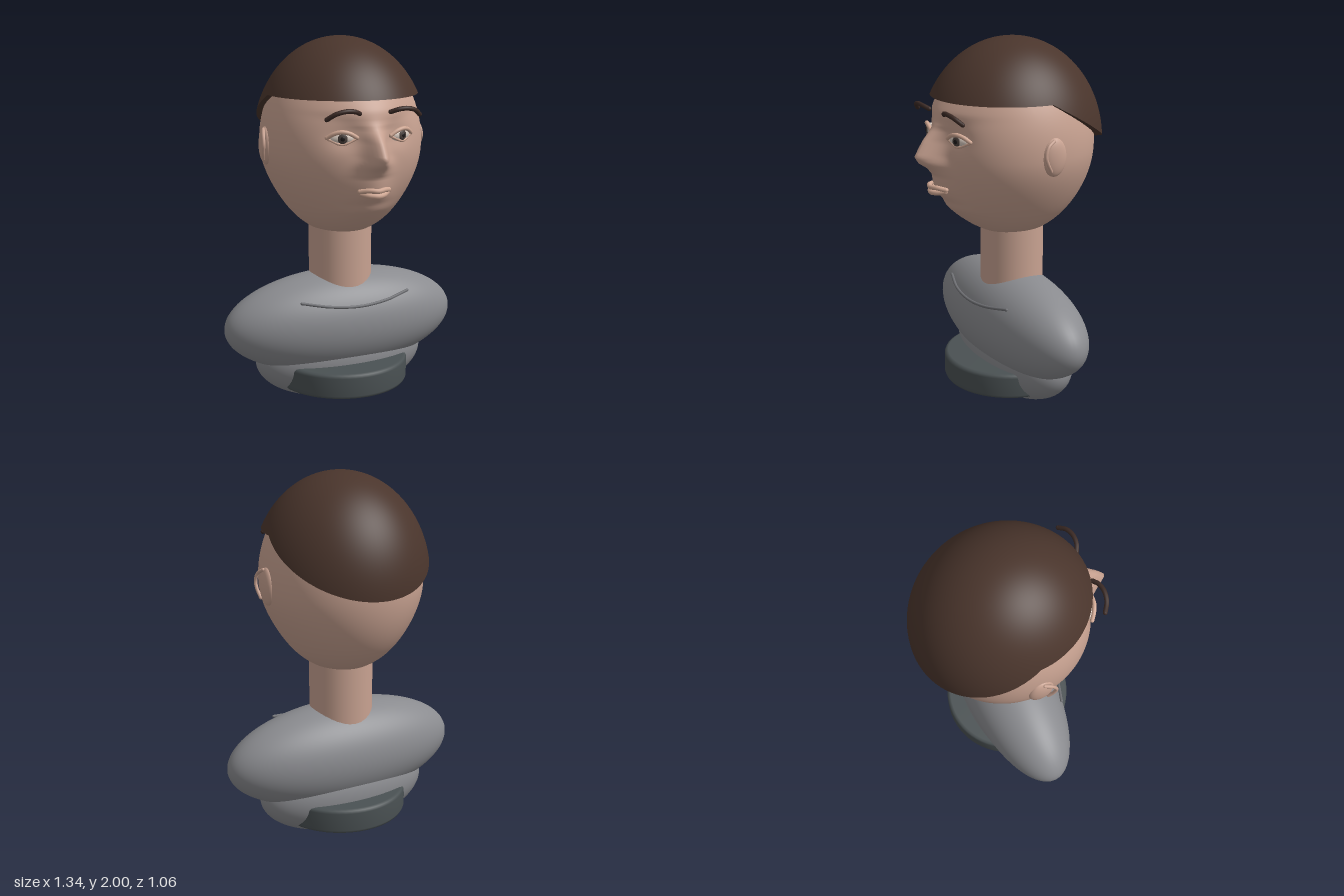
import * as THREE from 'three';
import { mergeGeometries } from 'three/addons/utils/BufferGeometryUtils.js';

const mat = (name, color, extra = {}) => {
  const m = new THREE.MeshStandardMaterial({ color, ...extra });
  m.name = name;
  return m;
};
const V = (x, y, z) => new THREE.Vector3(x, y, z);

export function createModel() {
  const skin = mat('skin', 0xc8a291);
  const lipSkin = mat('lip and eyelid skin', 0xcfa793);
  const hairBrown = mat('hair brown', 0x4a352c, { side: THREE.DoubleSide });
  const browBrown = mat('eyebrow brown', 0x3b2a25);
  const shirt = mat('shirt grey', 0x8a8b8f);
  const seam = mat('neckline grey', 0x6f7074);
  const slate = mat('base slate', 0x4a5153);
  const eyeWhite = mat('eye white', 0xd8cabf);
  const irisGrey = mat('iris grey', 0x4a403c);
  const pupilBlack = mat('pupil', 0x1c1818);

  const model = new THREE.Group();
  model.name = 'bust';

  const add = (name, geo, material, parent = model) => {
    const mesh = new THREE.Mesh(geo, material);
    mesh.name = name;
    parent.add(mesh);
    return mesh;
  };
  const ellipsoid = (name, p, r, material, parent, seg = 32) => {
    const mesh = add(name, new THREE.SphereGeometry(1, seg, seg * 0.75), material, parent);
    mesh.position.set(...p);
    mesh.scale.set(...r);
    return mesh;
  };
  // Tube through points, with rounded ends
  const tube = (name, pts, r, material, parent) => {
    const vs = pts.map((p) => V(...p));
    const caps = [vs[0], vs[vs.length - 1]].map((p) =>
      new THREE.SphereGeometry(r, 10, 8).translate(p.x, p.y, p.z));
    const body = new THREE.TubeGeometry(new THREE.CatmullRomCurve3(vs), 28, r, 10);
    return add(name, mergeGeometries([body, ...caps]), material, parent);
  };

  // Torso and base
  ellipsoid('shoulders', [0, 0.45, -0.04], [0.67, 0.285, 0.264], shirt, model, 64);
  ellipsoid('chest', [0, 0.245, -0.056], [0.49, 0.245, 0.235], shirt, model, 64);
  const ring = [[0, 0.105], [0.345, 0.105], [0.359, 0.111], [0.365, 0.125],
    [0.365, 0.225], [0.359, 0.239], [0.345, 0.245], [0, 0.245]];
  add('baseDisc', new THREE.LatheGeometry(ring.map((p) => new THREE.Vector2(...p)), 64), slate)
    .position.z = -0.028;
  tube('neckline', [[-0.31, 0.625, 0.17], [-0.16, 0.6, 0.215], [0, 0.588, 0.228],
    [0.16, 0.6, 0.215], [0.31, 0.625, 0.17]], 0.008, seam);

  // Neck
  add('neck', new THREE.CylinderGeometry(0.172, 0.172, 0.5, 32), skin).position.set(0, 0.8, -0.042);

  // Head: an ellipsoid with the face profile pushed forward; rows are height, push, half width
  const profile = [[0.98, 0, 0.15], [1.05, 0.014, 0.15], [1.13, 0.035, 0.15], [1.17, 0.03, 0.14],
    [1.21, 0.044, 0.12], [1.25, 0.048, 0.11], [1.315, 0.04, 0.1], [1.355, 0.065, 0.085],
    [1.39, 0.113, 0.07], [1.425, 0.131, 0.057], [1.5, 0.087, 0.05], [1.56, 0.039, 0.06],
    [1.6, 0.026, 0.1], [1.65, 0.028, 0.2], [1.75, 0.01, 0.25], [1.85, 0, 0.25]];
  const faceAt = (y) => {
    const i = profile.findIndex((p) => p[0] > y);
    if (i < 1) return [0, 1];
    const [a, b] = [profile[i - 1], profile[i]];
    const t = (y - a[0]) / (b[0] - a[0]);
    return [1, 2].map((k) => THREE.MathUtils.lerp(a[k], b[k], t));
  };
  const headGeo = new THREE.SphereGeometry(1, 192, 128).scale(0.432, 0.51, 0.44).translate(0, 1.45, -0.04);
  const hp = headGeo.attributes.position;
  for (let i = 0; i < hp.count; i++) {
    const x = hp.getX(i), y = hp.getY(i), z = hp.getZ(i);
    const jaw = 1 - THREE.MathUtils.smoothstep(y, 1.08, 1.42);
    hp.setX(i, x * (1 - 0.07 * jaw));
    if (z < 0.05) continue;
    const [push, w] = faceAt(y);
    const socket = Math.exp(-(((Math.abs(x) - 0.15) / 0.08) ** 2) - ((y - 1.52) / 0.06) ** 2);
    hp.setZ(i, z + push * Math.exp(-((x / w) ** 2)) - 0.016 * socket);
  }
  headGeo.computeVertexNormals();
  add('head', headGeo, skin);

  // Hair: cap level at the front, sloping down to the nape behind the ears
  const R = [0.46, 0.55, 0.49], drop = 0.255, slope = 0.55;
  const hairGeo = new THREE.SphereGeometry(1, 96, 48, 0, Math.PI * 2, 0, Math.PI / 2);
  const rimGeo = new THREE.CylinderGeometry(1, 1, 1, 96, 1, true);
  const hairPoint = (az, t, k) => {
    const s = Math.max(0, -Math.cos(az)) * slope * R[2];
    const end = Math.atan2(s, R[1]) + Math.acos(drop / Math.hypot(s, R[1]));
    const a = end * t;
    return V(Math.sin(az) * Math.sin(a) * R[0] * k, Math.cos(a) * R[1], Math.cos(az) * Math.sin(a) * R[2] * k);
  };
  const hair = new THREE.Group();
  hair.name = 'hair';
  hair.position.set(0, 1.45, -0.04);
  model.add(hair);
  for (let i = 0; i < hairGeo.attributes.position.count; i++) {
    const uv = hairGeo.attributes.uv;
    const row = Math.floor(i / 97), col = i % 97;
    const p = hairPoint((col / 96) * Math.PI * 2 - Math.PI / 2, row / 48, 1);
    const n = V(p.x / R[0] ** 2, p.y / R[1] ** 2, p.z / R[2] ** 2).normalize();
    hairGeo.attributes.position.setXYZ(i, p.x, p.y, p.z);
    hairGeo.attributes.normal.setXYZ(i, n.x, n.y, n.z);
  }
  add('hairCap', hairGeo, hairBrown, hair);
  // Underside joining the cap edge to the head
  for (let i = 0; i < rimGeo.attributes.position.count; i++) {
    const p = hairPoint(((i % 97) / 96) * Math.PI * 2, 1, i < 97 ? 1 : 0.86);
    rimGeo.attributes.position.setXYZ(i, p.x, p.y, p.z);
  }
  rimGeo.computeVertexNormals();
  add('hairEdge', rimGeo, hairBrown, hair);

  // Lips
  tube('upperLip', [[-0.08, 1.25, 0.395], [-0.04, 1.258, 0.43], [0, 1.255, 0.443],
    [0.04, 1.258, 0.43], [0.08, 1.25, 0.395]], 0.013, lipSkin);
  tube('lowerLip', [[-0.072, 1.238, 0.395], [-0.035, 1.23, 0.428], [0, 1.228, 0.44],
    [0.035, 1.23, 0.428], [0.072, 1.238, 0.395]], 0.014, lipSkin);

  for (const s of [1, -1]) {
    const side = s > 0 ? 'left' : 'right';

    // Eye
    const eye = new THREE.Group();
    eye.name = side + 'Eye';
    eye.position.set(s * 0.16, 1.52, 0.352);
    eye.rotation.y = s * 0.36;
    model.add(eye);
    ellipsoid('eyeball', [0, 0, 0], [0.066, 0.032, 0.028], eyeWhite, eye);
    ellipsoid('iris', [-s * 0.003, 0, 0.024], [0.025, 0.025, 0.008], irisGrey, eye);
    ellipsoid('pupil', [-s * 0.003, 0, 0.03], [0.012, 0.012, 0.004], pupilBlack, eye, 16);
    tube('upperLid', [[-0.075, 0.004, 0.008], [-0.038, 0.026, 0.02], [0, 0.034, 0.025],
      [0.038, 0.026, 0.02], [0.075, 0.004, 0.008]], 0.011, lipSkin, eye);
    tube('lowerLid', [[-0.068, -0.004, 0.008], [0, -0.029, 0.02], [0.068, -0.004, 0.008]],
      0.007, lipSkin, eye);

    // Eyebrow
    tube(side + 'Eyebrow', [[s * 0.255, 1.622, 0.385], [s * 0.215, 1.65, 0.412], [s * 0.165, 1.662, 0.423],
      [s * 0.12, 1.658, 0.418], [s * 0.085, 1.645, 0.4]], 0.012, browBrown);

    // Ear with its raised rim
    ellipsoid(side + 'Ear', [s * 0.422, 1.443, -0.042], [0.032, 0.1, 0.068], skin, model);
    tube(side + 'EarRim', [[s * 0.438, 1.53, -0.03], [s * 0.452, 1.505, 0.01], [s * 0.457, 1.46, 0.027],
      [s * 0.455, 1.42, 0.015], [s * 0.446, 1.378, -0.01]], 0.009, skin);
  }
  return model;
}
